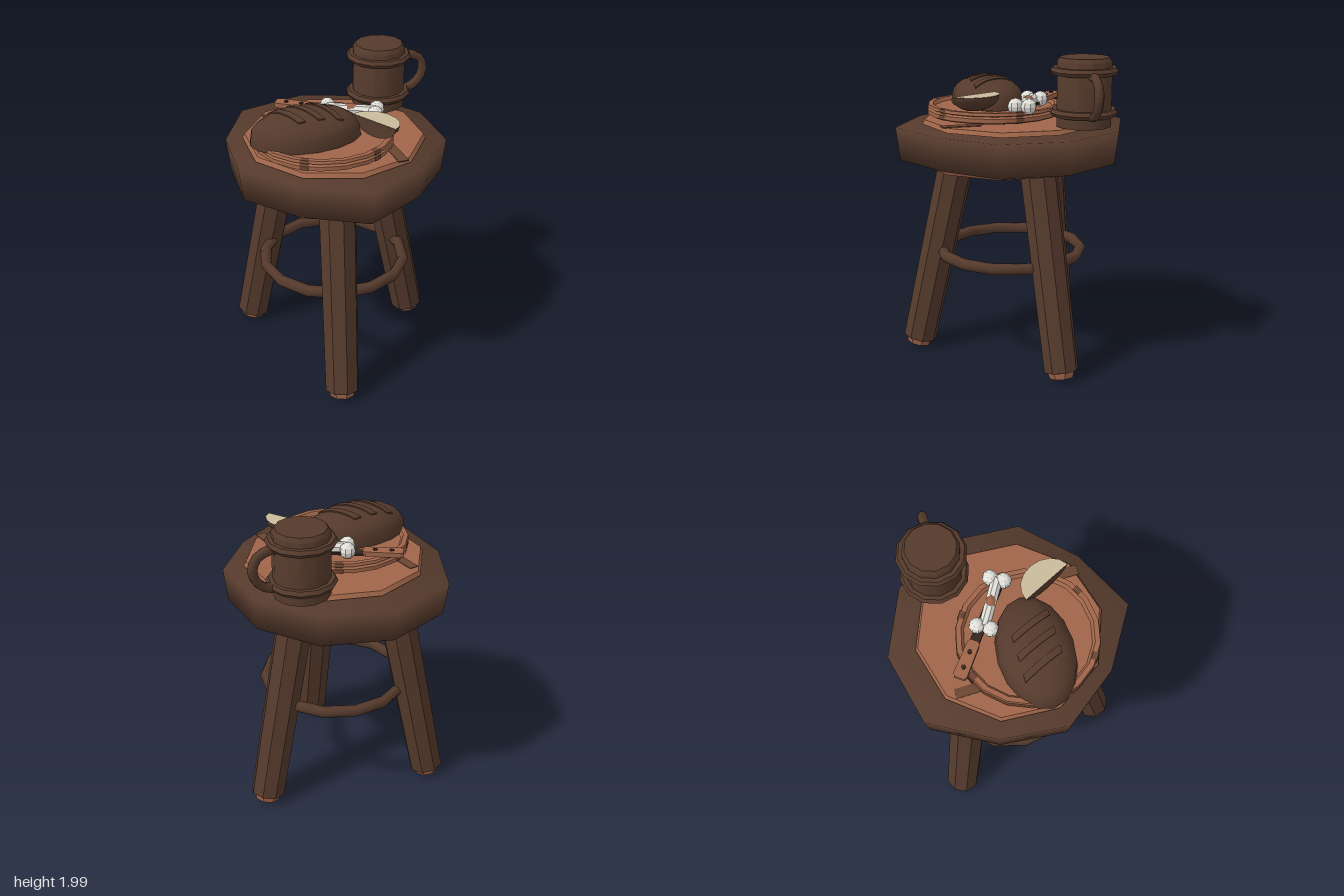
import * as THREE from 'three';
import { mergeVertices, toCreasedNormals } from 'three/addons/utils/BufferGeometryUtils.js';

const mat = (name, color) => {
  const m = new THREE.MeshStandardMaterial({ color });
  m.name = name;
  return m;
};
const V = (x, y, z) => new THREE.Vector3(x, y, z);

export function createModel() {
  const model = new THREE.Group();
  const bark = mat('dark bark brown', 0x553a2c);
  const wood = mat('warm cut wood', 0xa0664a);
  const stain = mat('wood stain', 0x6b4532);
  const dark = mat('dark iron', 0x35251d);
  const crumb = mat('cream crumb', 0xcabb9b);
  const bone = mat('bone white', 0xe2e0da);

  const add = (name, geometry, material, x = 0, y = 0, z = 0, parent = model) => {
    const mesh = new THREE.Mesh(geometry, material);
    mesh.name = name;
    mesh.position.set(x, y, z);
    parent.add(mesh);
    return mesh;
  };
  const smooth = (g) => {
    g.deleteAttribute('normal');
    g.deleteAttribute('uv');
    g = mergeVertices(g, 1e-4);
    g.computeVertexNormals();
    return g;
  };
  const crease = (g) => toCreasedNormals(g, 0.7);
  const reshape = (g, rule) => {
    const p = g.attributes.position;
    for (let i = 0; i < p.count; i++) {
      const v = rule(V(p.getX(i), p.getY(i), p.getZ(i)));
      p.setXYZ(i, v.x, v.y, v.z);
    }
    g.computeVertexNormals();
    return g;
  };
  // Cylinder running from point a to point b
  const rod = (name, a, b, ra, rb, sides, material) => {
    const d = b.clone().sub(a);
    const mid = a.clone().add(b).multiplyScalar(0.5);
    const g = crease(new THREE.CylinderGeometry(rb, ra, d.length(), sides));
    const m = add(name, g, material, mid.x, mid.y, mid.z);
    m.quaternion.setFromUnitVectors(V(0, 1, 0), d.normalize());
    return m;
  };
  const lathe = (pts, seg, start = 0, len = Math.PI * 2) =>
    crease(new THREE.LatheGeometry(pts.map(([r, y]) => new THREE.Vector2(r, y)), seg, start, len));

  // Irregular ten-sided seat
  const rim = [0.74, 0.65, 0.7, 0.7, 0.725, 0.74, 0.755, 0.675, 0.69, 0.655];
  const seat = reshape(new THREE.CylinderGeometry(1, 0.965, 0.21, 10), (v) => {
    const i = (Math.round(Math.atan2(v.x, v.z) / (Math.PI / 5)) + 10) % 10;
    v.x *= rim[i];
    v.z *= rim[i];
    return v;
  });
  add('seat', smooth(seat), bark, -0.05, 1.435, 0);

  // Cut wood discs above and below the seat, with dark grain stains
  add('topDisc', new THREE.CylinderGeometry(0.555, 0.57, 0.027, 10), wood, -0.05, 1.568, 0);
  add('bottomDisc', new THREE.CylinderGeometry(0.57, 0.555, 0.028, 10), wood, -0.07, 1.305, 0.02);
  for (const [x, y, z, w, l, turn] of [
    [-0.365, 1.583, -0.22, 0.06, 0.36, 0.08], [0.22, 1.583, 0.37, 0.065, 0.24, 0.05],
    [-0.3, 1.29, 0.1, 0.06, 0.5, 0.3], [0.15, 1.29, -0.2, 0.06, 0.4, -0.3],
  ]) {
    add('grainStain', new THREE.BoxGeometry(w, 0.006, l), stain, x, y, z).rotation.y = turn;
  }

  // Three splayed legs with cut ends
  for (const [foot, top] of [
    [V(-0.52, 0.07, -0.45), V(-0.3, 1.38, -0.295)],
    [V(-0.19, 0.07, 0.6), V(-0.133, 1.38, 0.32)],
    [V(0.555, 0.07, -0.19), V(0.26, 1.38, -0.097)],
  ]) {
    const d = foot.clone().sub(top).normalize();
    rod('leg', foot, top, 0.11, 0.118, 8, bark);
    rod('legEnd', foot.clone().addScaledVector(d, 0.045),
      foot.clone().addScaledVector(d, 0.006), 0.078, 0.09, 8, wood);
  }

  // Ring stretcher
  const ring = add('ringStretcher', new THREE.TorusGeometry(0.46, 0.037, 6, 14), bark, -0.055, 0.7, 0);
  ring.rotation.x = Math.PI / 2;

  // Wooden plate with stained patches around the rim
  const plate = new THREE.Group();
  plate.name = 'plate';
  plate.position.set(-0.145, 0, 0.09);
  model.add(plate);
  const rimPts = [[0.41, 1.59], [0.43, 1.6], [0.43, 1.625], [0.413, 1.635],
    [0.43, 1.642], [0.425, 1.66], [0.395, 1.66], [0.38, 1.637]];
  add('plateBody', lathe([[0, 1.59], ...rimPts, [0, 1.635]], 18), wood, 0, 0, 0, plate);
  for (const a of [-0.56, 0.53, 1.75, 2.6, 3.58, 4.7]) {
    const pts = rimPts.map(([r, y], i) => [r + (i < 6 ? 0.002 : -0.001), y + (i > 4 ? 0.002 : 0)]);
    add('plateStain', lathe(pts, 1, a - 0.06, 0.12), stain, 0, 0, 0, plate);
  }

  // Domed loaf with three raised diagonal cuts
  const loaf = new THREE.Group();
  loaf.name = 'loaf';
  loaf.position.set(-0.262, 1.64, 0.11);
  loaf.rotation.y = 0.05;
  model.add(loaf);
  const dome = (x, z) =>
    0.18 * Math.pow(Math.max(0, 1 - (x / 0.35) ** 2 - (z / 0.23) ** 2), 0.37);
  const crust = reshape(new THREE.SphereGeometry(1, 16, 12), (v) =>
    V(v.x * 0.35, v.y > 0 ? 0.18 * Math.pow(v.y, 0.74) : v.y * 0.01, v.z * 0.23));
  add('loafCrust', smooth(crust), bark, 0, 0, 0, loaf);
  for (const x0 of [-0.12, 0, 0.12]) {
    const cut = reshape(new THREE.BoxGeometry(0.045, 0.02, 0.25, 1, 1, 6), (v) => {
      const x = x0 + v.x + v.z * 0.45;
      return V(x, dome(x, v.z) + v.y * 0.8 - 0.001, v.z);
    });
    add('loafCut', cut, bark, 0, 0, 0, loaf);
  }

  // Loaf heel lying crumb side up
  const heel = new THREE.Group();
  heel.name = 'loafHeel';
  heel.position.set(0.115, 1.755, 0.265);
  heel.rotation.y = -Math.PI / 3;
  heel.scale.set(0.168, 0.1, 0.14);
  model.add(heel);
  const shell = new THREE.SphereGeometry(1, 8, 5, Math.PI, Math.PI, Math.PI / 2, Math.PI / 2);
  add('heelCrust', shell, bark, 0, 0, 0, heel);
  add('heelSide', new THREE.CircleGeometry(1, 10, Math.PI, Math.PI), bark, 0, 0, 0, heel);
  const face = add('heelCrumb', new THREE.CircleGeometry(1, 8, 0, Math.PI), crumb, 0, 0.01, 0, heel);
  face.rotation.x = -Math.PI / 2;

  // Bone with faceted knobs and a scrap of meat
  rod('boneShaft', V(-0.05, 1.69, -0.15), V(0.225, 1.69, -0.01), 0.036, 0.036, 8, bone);
  const knob = new THREE.SphereGeometry(0.05, 8, 6).toNonIndexed();
  knob.computeVertexNormals();
  for (const [x, z] of [[-0.033, -0.19], [-0.073, -0.115], [0.247, -0.047], [0.21, 0.027]]) {
    add('boneKnob', knob, bone, x, 1.69, z);
  }
  const scrap = add('meatScrap', new THREE.SphereGeometry(1, 6, 4), wood, 0.088, 1.7, -0.08);
  scrap.scale.set(0.05, 0.036, 0.036);
  scrap.rotation.y = -0.4;

  // Knife: riveted wooden handle and a dark blade reaching under the bone
  const knife = new THREE.Group();
  knife.name = 'knife';
  knife.position.set(-0.22, 1.677, -0.29);
  knife.rotation.y = -0.59;
  model.add(knife);
  const outline = new THREE.Shape([[-0.125, -0.03], [-0.105, -0.042], [0.105, -0.037], [0.12, -0.025],
    [0.12, 0.025], [0.105, 0.037], [-0.105, 0.042], [-0.125, 0.03]].map((p) => new THREE.Vector2(...p)));
  const grip = new THREE.ExtrudeGeometry(outline, { depth: 0.03, bevelEnabled: false });
  grip.rotateX(-Math.PI / 2);
  add('knifeHandle', grip, wood, 0, -0.015, 0, knife);
  for (const x of [-0.055, 0.045]) {
    add('knifeRivet', new THREE.CylinderGeometry(0.015, 0.015, 0.04, 8), dark, x, 0, 0, knife);
  }
  add('knifeBlade', new THREE.BoxGeometry(0.4, 0.014, 0.06), dark, 0.31, -0.01, 0, knife);

  // Closed mug with two hoops and a side handle
  const mug = new THREE.Group();
  mug.name = 'mug';
  mug.position.set(0.368, 0, -0.36);
  model.add(mug);
  add('mugBody', lathe([[0, 1.585], [0.17, 1.585], [0.17, 1.975], [0.152, 2], [0, 2]], 12), bark, 0, 0, 0, mug);
  for (const y of [1.92, 1.67]) {
    const hoop = [[0.165, -0.022], [0.195, -0.022], [0.21, 0], [0.195, 0.022], [0.165, 0.022]];
    add('mugHoop', lathe(hoop.map(([r, h]) => [r, y + h]), 12), bark, 0, 0, 0, mug);
  }
  const path = new THREE.CatmullRomCurve3([V(0.15, 1.9, 0), V(0.22, 1.9, 0), V(0.285, 1.865, 0),
    V(0.308, 1.79, 0), V(0.275, 1.715, 0), V(0.21, 1.67, 0), V(0.15, 1.665, 0)]);
  add('mugHandle', new THREE.TubeGeometry(path, 10, 0.029, 6), bark, 0, 0, 0, mug);

  return model;
}
